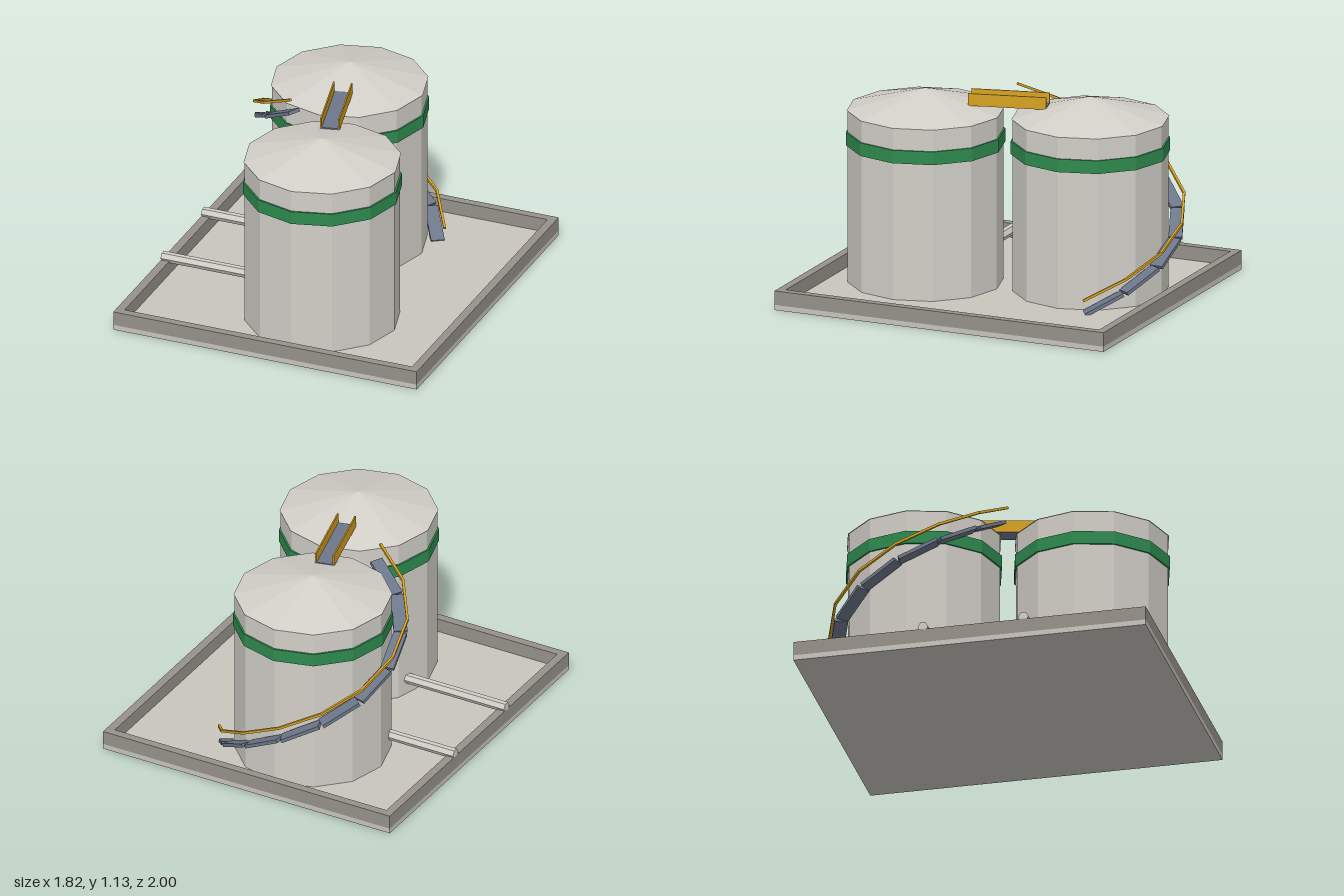
import * as THREE from 'three';

const mat = (name, color, flatShading = false) => {
  const m = new THREE.MeshStandardMaterial({ color, flatShading });
  m.name = name;
  return m;
};

export function createModel() {
  const model = new THREE.Group();
  model.name = 'storageTanks';

  const steel = mat('pale steel', 0xd2cfc8, true);
  const concrete = mat('light concrete', 0xc8c5bc);
  const kerb = mat('kerb grey', 0x96928a);
  const green = mat('band green', 0x2e8b4f, true);
  const gold = mat('rail yellow', 0xd6a222);
  const slate = mat('step slate', 0x6d778a);

  const add = (parent, name, geometry, material, x = 0, y = 0, z = 0) => {
    const mesh = new THREE.Mesh(geometry, material);
    mesh.name = name;
    mesh.position.set(x, y, z);
    parent.add(mesh);
    return mesh;
  };
  const box = (w, h, d) => new THREE.BoxGeometry(w, h, d);

  // Box laid from one point to another, its width kept level
  const beam = (parent, name, a, b, width, height, trim, material) => {
    const mesh = add(parent, name, box(width, height, a.distanceTo(b) + trim), material);
    mesh.position.copy(a).lerp(b, 0.5);
    mesh.lookAt(b);
    return mesh;
  };

  // Base slab with a raised kerb all round
  const W = 0.91, D = 1, T = 0.048, floorY = 0.03, kerbH = 0.08;
  add(model, 'slab', box(2 * W, floorY, 2 * D), concrete, 0, floorY / 2, 0);
  for (const s of [-1, 1]) {
    add(model, 'sideKerb', box(T, kerbH, 2 * D), kerb, s * (W - T / 2), floorY + kerbH / 2, 0);
    add(model, 'endKerb', box(2 * (W - T), kerbH, T), kerb, 0, floorY + kerbH / 2, s * (D - T / 2));
  }

  // Two twelve-sided tanks, each with a band, a conical roof and an outlet pipe
  const tanks = [
    { name: 'backTank', x: -0.11, z: -0.45, pipeZ: -0.265 },
    { name: 'frontTank', x: 0.11, z: 0.45, pipeZ: 0.305 },
  ];
  for (const t of tanks) {
    const tank = new THREE.Group();
    tank.name = t.name;
    tank.position.set(t.x, 0, t.z);
    model.add(tank);
    add(tank, 'shell', new THREE.CylinderGeometry(0.432, 0.432, 0.985, 12), steel, 0, 0.5225, 0);
    add(tank, 'band', new THREE.CylinderGeometry(0.442, 0.442, 0.075, 12), green, 0, 0.853, 0);
    add(tank, 'roof', new THREE.ConeGeometry(0.438, 0.12, 12), steel, 0, 1.075, 0);

    const end = t.x - 0.36;
    const pipe = add(model, 'outletPipe', new THREE.CylinderGeometry(0.03, 0.03, end + W, 6),
      steel, (end - W) / 2, 0.124, t.pipeZ);
    pipe.rotation.z = Math.PI / 2;
  }

  // Walkway bridging the two roofs
  const bridge = new THREE.Group();
  bridge.name = 'walkway';
  bridge.position.set(0, 1.06, -0.005);
  bridge.rotation.y = Math.atan2(0.22, 0.9);
  model.add(bridge);
  add(bridge, 'deck', box(0.1, 0.012, 0.44), slate, 0, 0.006, 0);
  for (const s of [-1, 1]) {
    add(bridge, 'sideRail', box(0.008, 0.07, 0.44), gold, s * 0.05, 0.035, 0);
  }

  // Spiral stair climbing round the back tank, with an outer handrail
  const stair = new THREE.Group();
  stair.name = 'spiralStair';
  model.add(stair);
  const steps = 9;
  const point = (i, r, y0) => {
    const a = THREE.MathUtils.degToRad(-20.5 - 26 * i);
    return new THREE.Vector3(-0.11 + r * Math.cos(a), y0 + i * 0.111, -0.45 + r * Math.sin(a));
  };
  for (let i = 0; i < steps; i++) {
    beam(stair, 'flight', point(i, 0.488, 0.025), point(i + 1, 0.488, 0.025), 0.076, 0.02, -0.008, slate);
    beam(stair, 'handrail', point(i, 0.525, 0.112), point(i + 1, 0.525, 0.112), 0.014, 0.014, 0.004, gold);
  }

  return model;
}
